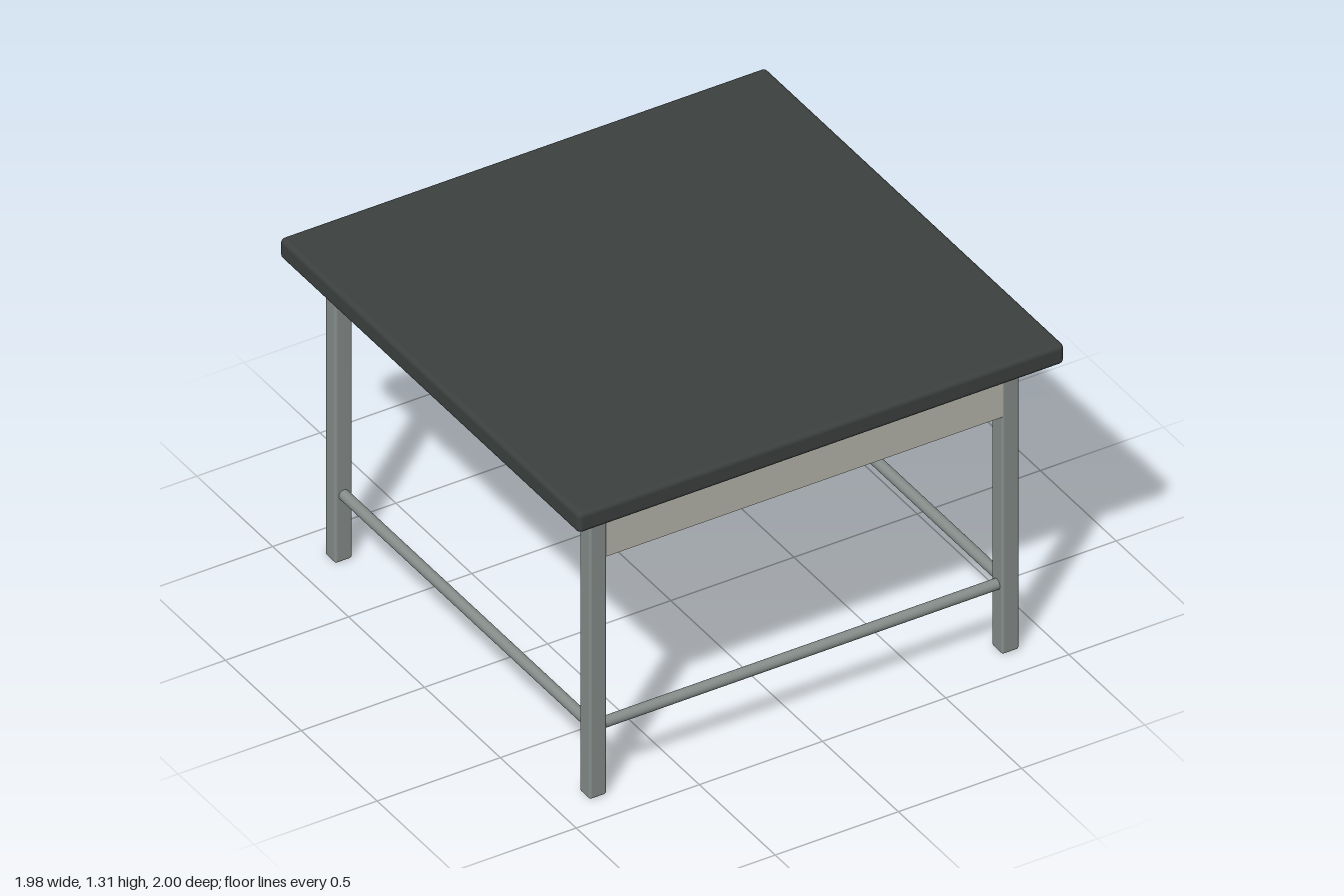
import * as THREE from 'three';
import { RoundedBoxGeometry } from 'three/addons/geometries/RoundedBoxGeometry.js';

const mat = (color) => new THREE.MeshStandardMaterial({ color });

export function createModel() {
  const group = new THREE.Group();
  const dark = mat(0x3c413f), steel = mat(0x868d8a), panel = mat(0xb6b6ac);

  const add = (name, geometry, material, x, y, z) => {
    const mesh = new THREE.Mesh(geometry, material);
    mesh.name = name;
    mesh.position.set(x, y, z);
    group.add(mesh);
    return mesh;
  };
  const box = (name, w, h, d, r, material, x, y, z) =>
    add(name, new RoundedBoxGeometry(w, h, d, 3, r), material, x, y, z);

  const legX = 0.837, frontZ = 0.847, backZ = -0.83;
  const midZ = (frontZ + backZ) / 2, span = frontZ - backZ;

  // Thick top with softened edges
  box('tableTop', 1.975, 0.085, 1.975, 0.02, dark, 0, 1.268, 0.008);

  // Square legs, with an apron at the front and the back only
  for (const [side, z] of [['front', frontZ], ['back', backZ]]) {
    for (const s of [-1, 1]) {
      box(side + (s > 0 ? 'LeftLeg' : 'RightLeg'), 0.07, 1.222, 0.07, 0.01, steel, s * legX, 0.611, z);
    }
    add(side + 'Apron', new THREE.BoxGeometry(2 * legX, 0.225, 0.066), panel, 0, 1.113, z);
  }

  // Round stretchers on the front and both sides; the drawer side stays open
  const rod = (length) => new THREE.CylinderGeometry(0.021, 0.021, length, 24);
  add('frontStretcher', rod(2 * legX), steel, 0, 0.28, frontZ).rotation.z = Math.PI / 2;
  for (const s of [-1, 1]) {
    add(s > 0 ? 'leftStretcher' : 'rightStretcher', rod(span), steel, s * legX, 0.28, midZ).rotation.x = Math.PI / 2;
  }

  // Drawer front on the back apron
  box('drawer', 0.985, 0.22, 0.085, 0.01, panel, 0, 1.04, -0.8875);

  // Bow handle: a bent rod with closed ends
  const v = (x, z) => new THREE.Vector3(x, 0, z);
  const path = new THREE.CurvePath();
  path.add(new THREE.LineCurve3(v(-0.15, -0.953), v(-0.15, -0.972)));
  path.add(new THREE.QuadraticBezierCurve3(v(-0.15, -0.972), v(-0.15, -0.988), v(-0.134, -0.988)));
  path.add(new THREE.LineCurve3(v(-0.134, -0.988), v(0.134, -0.988)));
  path.add(new THREE.QuadraticBezierCurve3(v(0.134, -0.988), v(0.15, -0.988), v(0.15, -0.972)));
  path.add(new THREE.LineCurve3(v(0.15, -0.972), v(0.15, -0.953)));
  add('handle', new THREE.TubeGeometry(path, 80, 0.012, 12), steel, 0, 1.042, 0);
  for (const s of [-1, 1]) {
    add('handleEnd', new THREE.CircleGeometry(0.012, 12), steel, s * 0.15, 1.042, -0.953);
  }

  return group;
}
